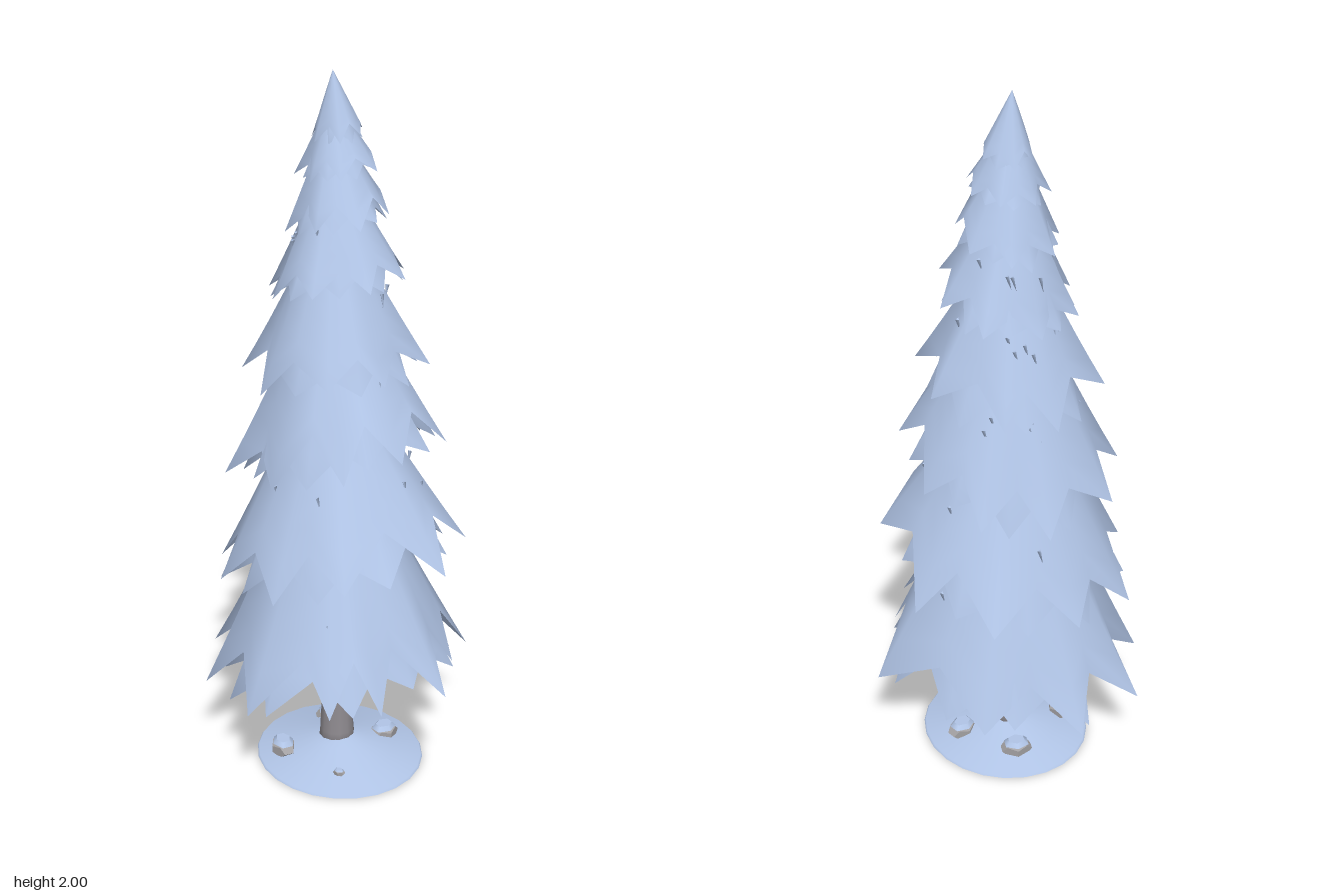
import * as THREE from 'three';

const snow = new THREE.MeshStandardMaterial({ color: 0xb2c6e8, side: THREE.DoubleSide });
snow.name = 'snow';
const bark = new THREE.MeshStandardMaterial({ color: 0x8f8b90 });
bark.name = 'bark';
const stone = new THREE.MeshStandardMaterial({ color: 0xa3a1a3, flatShading: true });
stone.name = 'stone';

// Small seeded generator
let seed = 7;
const rand = (a = 0, b = 1) => {
  seed = (seed * 16807) % 2147483647;
  return a + (b - a) * (seed / 2147483647);
};

// Branch tiers: top radius, top height, tip radius, tip height, forward lift, teeth, phase
const tiers = [
  [0.09, 0.90, 0.375, 0.29, 0.05, 10, 0],
  [0.065, 1.17, 0.355, 0.63, 0.08, 9, 0.05],
  [0.055, 1.42, 0.300, 0.94, 0.085, 9, 0.2],
  [0.04, 1.60, 0.248, 1.19, 0.03, 8, 0.1],
  [0.03, 1.74, 0.188, 1.43, 0.04, 8, 0.35],
  [0.02, 1.85, 0.145, 1.61, 0.025, 7, 0.0],
  [0.012, 1.92, 0.108, 1.74, 0.015, 7, 0.3],
  [0.0, 2.0, 0.074, 1.83, 0.01, 6, 0.1],
];
// Long branch tips of the lowest tier, as [x, z]
const lowTips = [[0.355, 0.15], [0.19, 0.27], [0.07, 0.375], [-0.12, 0.33], [-0.25, 0.27],
  [-0.37, 0.07], [-0.31, -0.2], [-0.15, -0.37], [0.075, -0.38], [0.28, -0.21]];

// A flaring, folded cone with a zigzag hem; tips are [angle, radius, drop], notch is the hem's rise
function skirt(name, [r0, y0, r1, y1, lift], tips, notch) {
  const cols = [];
  tips.forEach(([a, r, dy], i) => {
    let next = tips[(i + 1) % tips.length][0];
    if (next < a) next += Math.PI * 2;
    cols.push([a, r, y1 + dy]);
    cols.push([(a + next) / 2 + rand(-0.07, 0.07), r1 * rand(0.7, 0.8), y1 + (y0 - y1) * notch * rand(0.8, 1.2)]);
  });
  const rows = 6, n = cols.length, pos = [], index = [];
  for (let j = 0; j <= rows; j++) {
    const t = j / rows, w = Math.pow(t, 1.1);
    for (const [a, r, y] of cols) {
      const endR = THREE.MathUtils.lerp(r1 * 0.86, r, w);
      const endY = THREE.MathUtils.lerp(y1 + (y0 - y1) * 0.1, y, w) + lift * Math.sin(a);
      const rad = r0 + (endR - r0) * t;
      pos.push(rad * Math.cos(a) - 0.01 * (1 - t), y0 + (endY - y0) * t, rad * Math.sin(a) - 0.005 * (1 - t));
    }
  }
  for (let j = 0; j < rows; j++) {
    for (let i = 0; i < n; i++) {
      const a = j * n + i, b = j * n + (i + 1) % n;
      index.push(a, b, a + n, b, b + n, a + n);
    }
  }
  const g = new THREE.BufferGeometry();
  g.setAttribute('position', new THREE.Float32BufferAttribute(pos, 3));
  g.setIndex(index);
  g.computeVertexNormals();
  const mesh = new THREE.Mesh(g, snow);
  mesh.name = name;
  return mesh;
}

function ringTips(teeth, phase, radius, drop) {
  const step = Math.PI * 2 / teeth;
  return Array.from({ length: teeth }, (_, i) => [
    (i + phase) * step + rand(-0.12, 0.12) * step,
    radius * rand(0.92, 1.03),
    rand(-drop, drop),
  ]);
}

export function createModel() {
  const model = new THREE.Group();
  model.name = 'snowyConifer';
  const add = (name, geometry, material, parent = model) => {
    const mesh = new THREE.Mesh(geometry, material);
    mesh.name = name;
    parent.add(mesh);
    return mesh;
  };

  // Branch tiers, each an outer skirt with a slightly smaller one turned half a tooth
  const foliage = new THREE.Group();
  foliage.name = 'foliage';
  model.add(foliage);
  tiers.forEach((tier, k) => {
    const [r0, y0, r1, y1, lift, teeth, phase] = tier;
    const drop = (y0 - y1) * 0.05;
    const tips = k === 0
      ? lowTips.map(([x, z]) => [(Math.atan2(z, x) + Math.PI * 2) % (Math.PI * 2), Math.hypot(x, z), rand(-0.02, 0.02)])
      : ringTips(teeth, phase, r1, drop);
    foliage.add(skirt('outerBranches' + (k + 1), tier, tips, 0.2));
    const inner = [r0 * 0.8, y0 - 0.02, r1 * 0.93, y1 - 0.01, lift];
    foliage.add(skirt('innerBranches' + (k + 1), inner, ringTips(teeth, phase + 0.5, r1 * 0.9, drop), 0.13));

    // Short twigs poking through the snow
    if (k > 4) return;
    for (let i = 0; i < 8; i++) {
      const a = rand(0, Math.PI * 2), t = rand(0.55, 0.72);
      const r = r0 + (r1 * 0.85 - r0) * t;
      const twig = add('snowyTwig', new THREE.ConeGeometry(0.006, 0.04, 3), snow, foliage);
      twig.position.set(r * Math.cos(a), y0 + (y1 + (y0 - y1) * 0.1 + lift * Math.sin(a) - y0) * t, r * Math.sin(a));
      twig.rotation.set(Math.PI - 0.25 * Math.sin(a), 0, 0.25 * Math.cos(a));
    }
  });

  // Trunk with a flared foot
  const trunkProfile = [[0, 0.01], [0.055, 0.01], [0.048, 0.08], [0.042, 0.2], [0.035, 0.36], [0.02, 1.0]];
  add('trunk', new THREE.LatheGeometry(trunkProfile.map(([x, y]) => new THREE.Vector2(x, y)), 12), bark);

  // Snow mound, open underneath
  const moundProfile = [[0.23, 0.002], [0.226, 0.008], [0.15, 0.027], [0.07, 0.055], [0, 0.072]];
  const mound = add('snowMound', new THREE.LatheGeometry(moundProfile.map(([x, y]) => new THREE.Vector2(x, y)), 24), snow);
  mound.scale.z = 1.06;
  mound.position.z = 0.013;

  // Stones with snow on top: x, z, size
  const stones = [[0.13, 0.055, 0.042], [-0.14, -0.07, 0.042], [0.07, -0.11, 0.042], [0.075, 0.08, 0.014], [-0.1, 0.13, 0.016]];
  stones.forEach(([x, z, s], i) => {
    const rock = new THREE.Group();
    rock.name = 'stone' + (i + 1);
    rock.position.set(x, 0.032, z);
    rock.rotation.y = i * 1.3;
    model.add(rock);
    add('stoneBody', new THREE.DodecahedronGeometry(s), stone, rock).scale.set(1.1, 0.65, 0.85);
    const cap = add('stoneSnow', new THREE.CylinderGeometry(s * 0.6, s * 0.9, s * 0.3, 6), snow, rock);
    cap.scale.z = 0.8;
    cap.position.y = s * 0.55;
  });

  return model;
}
